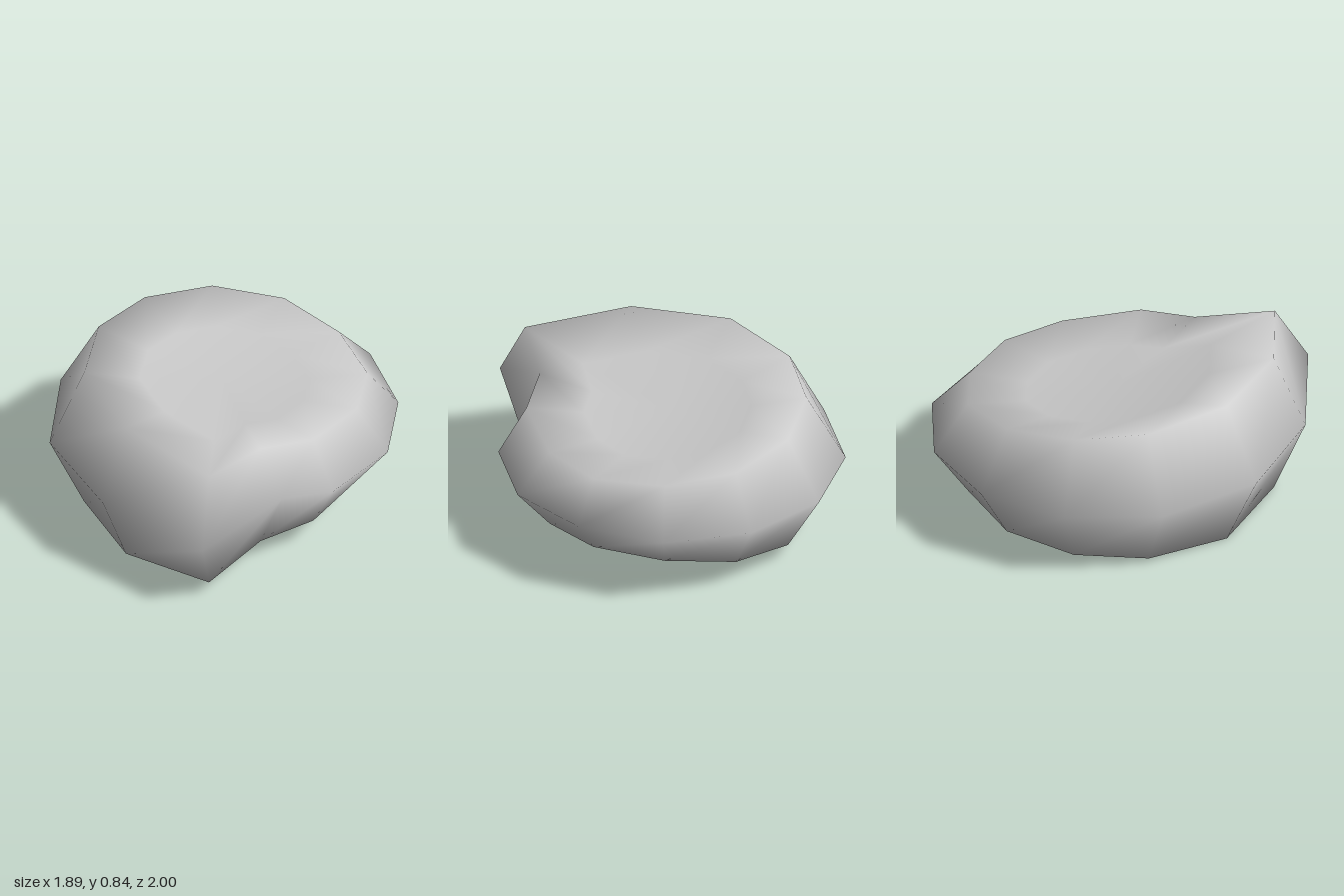
import * as THREE from 'three';

const MID = 0.425; // height of the widest outline; the body mirrors about it

// Per corner: outline x, z, then shoulder x, y, z
const CORNERS = [
  [0, -1, 0, 0.655, -0.79],
  [0.46, -0.84, 0.385, 0.635, -0.69],
  [0.8, -0.51, 0.63, 0.645, -0.43],
  [0.92, -0.05, 0.77, 0.688, -0.03],
  [0.81, 0.21, 0.71, 0.725, 0.28],
  [0.945, 0.85, 0.805, 0.768, 0.7],
  [0.26, 1, 0.24, 0.835, 0.83],
  [-0.37, 0.88, -0.3, 0.845, 0.7],
  [-0.81, 0.47, -0.63, 0.82, 0.35],
  [-0.945, -0.04, -0.735, 0.79, -0.04],
  [-0.82, -0.53, -0.65, 0.75, -0.43],
  [-0.47, -0.875, -0.38, 0.7, -0.71],
];

function bodyGeometry() {
  const n = CORNERS.length;
  const outline = CORNERS.map(([x, z]) => new THREE.Vector3(x, MID, z));
  const shoulder = CORNERS.map(([, , x, y, z]) => new THREE.Vector3(x, y, z));
  const centre = new THREE.Vector3(0, 0.68, 0);
  // Floor of the dished face, sunk below the tilted plane of the shoulder
  const dish = shoulder.map((p) => new THREE.Vector3(p.x * 0.6, 0.745 + (p.y - 0.745) * 0.6 - 0.05, p.z * 0.6));
  const mirror = (points) => points.map((p) => new THREE.Vector3(p.x, 2 * MID - p.y, p.z));

  // Rings from bottom to top, then the two centres
  const rings = [mirror(dish), mirror(shoulder), outline, shoulder, dish];
  const points = [...rings.flat(), ...mirror([centre]), centre];
  const last = (rings.length - 1) * n;
  const bottom = rings.length * n;
  const top = bottom + 1;

  const index = [];
  for (let i = 0; i < n; i++) {
    const j = (i + 1) % n;
    // Bevelled sides and dish slopes
    for (let a = 0; a < last; a += n) {
      const b = a + n;
      index.push(a + j, a + i, b + i, a + j, b + i, b + j);
    }
    // Bottom and top dish floors
    index.push(bottom, i, j, last + j, last + i, top);
  }

  const geometry = new THREE.BufferGeometry().setFromPoints(points);
  geometry.setIndex(index);
  geometry.computeVertexNormals();
  return geometry;
}

export function createModel() {
  const group = new THREE.Group();
  const stone = new THREE.MeshStandardMaterial({ color: 0xc8c8c8 });
  stone.name = 'stone grey';

  // Rounded stone with a notch on its left side
  const body = new THREE.Mesh(bodyGeometry(), stone);
  body.name = 'stoneBody';
  group.add(body);
  return group;
}
